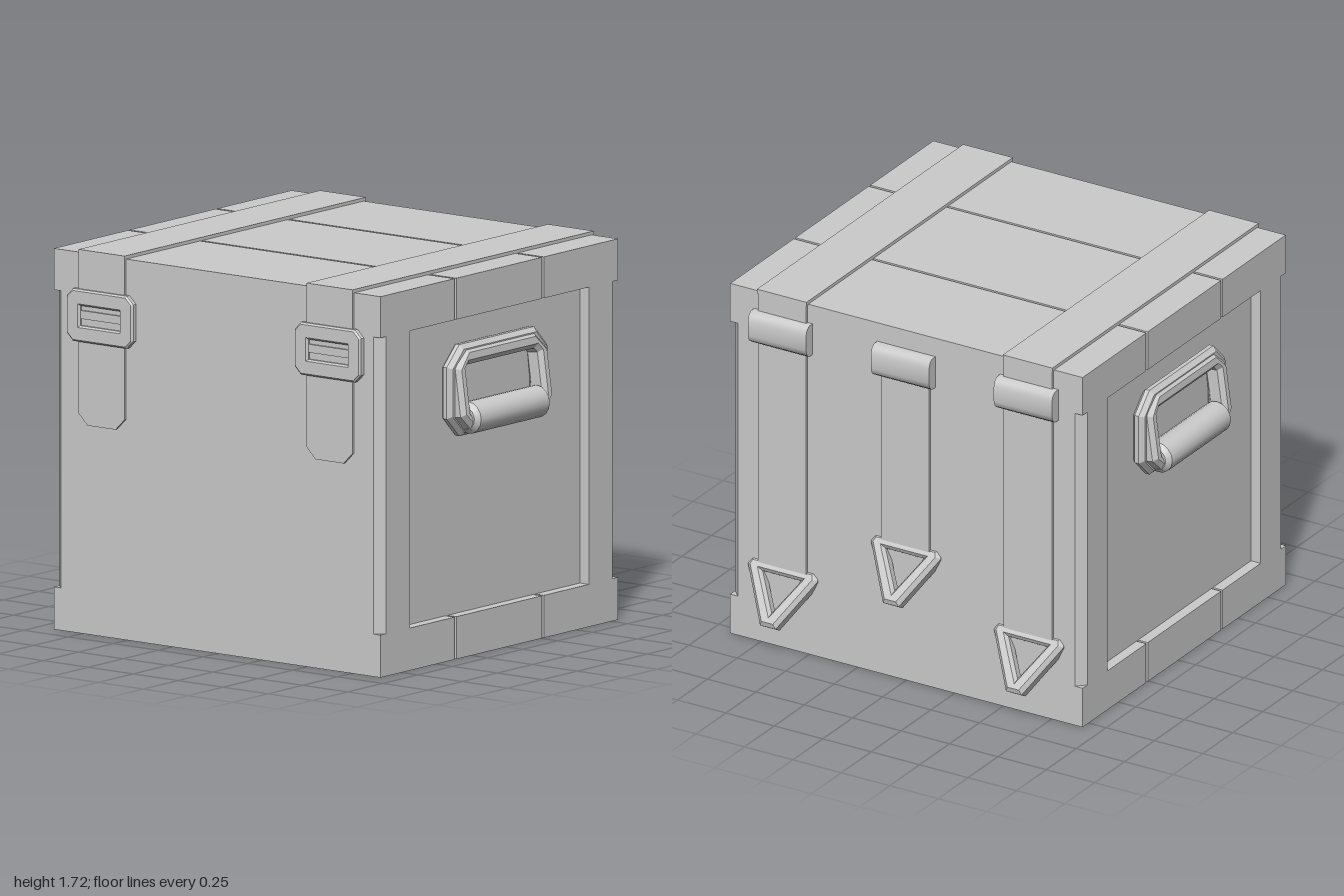
import * as THREE from 'three';
import { toCreasedNormals } from 'three/addons/utils/BufferGeometryUtils.js';

const material = new THREE.MeshStandardMaterial({ color: 0xcccccc });
const flatMaterial = new THREE.MeshStandardMaterial({ color: 0xcccccc, flatShading: true });
const MID_Z = 0.05; // middle of the crate from back to front

function add(parent, name, geometry, mat = flatMaterial) {
  const mesh = new THREE.Mesh(geometry, mat);
  mesh.name = name;
  parent.add(mesh);
  return mesh;
}

// Box given by its limits on each axis
function box(x0, x1, y0, y1, z0, z1) {
  return new THREE.BoxGeometry(x1 - x0, y1 - y0, z1 - z0)
    .translate((x0 + x1) / 2, (y0 + y1) / 2, (z0 + z1) / 2);
}

const toPoints = (list) => list.map(([x, y]) => new THREE.Vector2(x, y));

// Rectangle with cut corners; top corners may use a different cut
function cutRect(w, h, c, top = c) {
  const x = w / 2, y = h / 2;
  return toPoints([[-x + c, -y], [x - c, -y], [x, -y + c], [x, y - top],
    [x - top, y], [-x + top, y], [-x, y - top], [-x, -y + c]]);
}

// Bevelled plate, filling z = 0..depth and keeping the outline's size
function plate(outline, depth, bevel = 0, hole = null) {
  const shape = new THREE.Shape(outline);
  if (hole) shape.holes.push(new THREE.Path(hole));
  return new THREE.ExtrudeGeometry(shape, {
    depth: depth - 2 * bevel, bevelEnabled: bevel > 0, bevelThickness: bevel,
    bevelSize: bevel, bevelOffset: -bevel, bevelSegments: 1,
  }).translate(0, 0, bevel);
}

// Crate walls: chamfered upright corners and recessed side panels
function walls() {
  const quarter = [[0.86, 0.64], [0.91, 0.64], [0.91, 0.81], [0.87, 0.85]];
  const flip = (sx, sz) => quarter.map(([x, z]) => [x * sx, z * sz]);
  const outline = [...flip(1, 1), ...flip(-1, 1).reverse(), ...flip(-1, -1), ...flip(1, -1).reverse()];
  return plate(toPoints(outline), 1.34).rotateX(-Math.PI / 2).translate(0, 0.185, MID_Z);
}

// Three boards with narrow grooves between them
function boards(parent, name, y0, y1) {
  const group = new THREE.Group();
  group.name = name;
  for (const [z0, z1] of [[-0.8, -0.268], [-0.255, 0.358], [0.371, 0.9]]) {
    add(group, 'board', box(-0.91, 0.91, y0, y1, z0, z1));
  }
  add(group, 'boardCore', box(-0.9, 0.9, y0 + 0.012, y1 - 0.012, -0.79, 0.89));
  parent.add(group);
}

// Strap over the lid with a buckle and hanging end at the front
function lidStrap(x) {
  const group = new THREE.Group();
  group.name = 'lidStrap';
  add(group, 'strapTop', box(-0.128, 0.128, 1.70, 1.72, -0.815, 0.912));
  add(group, 'strapEnd', plate(cutRect(0.256, 0.78, 0.05, 0), 0.016).translate(0, 1.327, 0.896));
  const slot = cutRect(0.22, 0.09, 0);
  add(group, 'buckle', plate(cutRect(0.37, 0.235, 0.035), 0.035, 0.008, slot).translate(0, 1.427, 0.895));
  add(group, 'buckleBar', box(-0.115, 0.115, 1.413, 1.45, 0.9, 0.921));
  group.position.x = x;
  return group;
}

// Rear strap held by a rounded clamp, ending in a tilted triangular ring
function rearStrap(x, ringTop) {
  const group = new THREE.Group();
  group.name = 'rearStrap';
  add(group, 'strap', box(-0.125, 0.125, ringTop - 0.04, 1.705, -0.812, -0.79));
  if (x === 0) group.children[0].geometry = box(-0.125, 0.125, ringTop - 0.04, 1.6, -0.812, -0.79);

  const profile = toPoints([[-0.01, 1.465], [0.028, 1.465], [0.046, 1.478], [0.055, 1.505],
    [0.055, 1.575], [0.046, 1.602], [0.028, 1.615], [-0.01, 1.615]]);
  const clamp = plate(profile, 0.3).rotateY(Math.PI / 2).translate(-0.15, 0, -0.8);
  add(group, 'clamp', toCreasedNormals(clamp, 0.8), material);

  const outline = toPoints([[-0.04, -0.29], [0.04, -0.29], [0.18, -0.04], [0.165, 0],
    [-0.165, 0], [-0.18, -0.04]]);
  const hole = toPoints([[0, -0.225], [0.1, -0.055], [-0.1, -0.055]]);
  const ring = add(group, 'triangleRing', plate(outline, 0.075, 0.018, hole));
  ring.rotation.x = 0.53;
  ring.position.set(0, ringTop, -0.8);
  group.position.x = x;
  return group;
}

// Side handle facing +x: flange, tilted frame and round grip
function sideHandle() {
  const group = new THREE.Group();
  group.name = 'sideHandle';
  const flange = plate(cutRect(0.715, 0.41, 0.09), 0.06, 0.02, cutRect(0.53, 0.25, 0.02));
  add(group, 'handleFlange', flange.rotateY(Math.PI / 2).translate(0.855, 1.195, 0));

  const frame = plate(cutRect(0.65, 0.375, 0.08), 0.095, 0.02, cutRect(0.52, 0.23, 0.02));
  const tilted = add(group, 'handleFrame', frame.rotateY(Math.PI / 2));
  tilted.rotation.z = 0.14;
  tilted.position.set(0.858, 1.185, 0);

  const grip = new THREE.LatheGeometry(
    toPoints([[0, -0.265], [0.05, -0.265], [0.072, -0.245], [0.072, 0.245], [0.05, 0.265], [0, 0.265]]), 16);
  add(group, 'handleGrip', toCreasedNormals(grip.rotateX(Math.PI / 2), 0.6), material)
    .position.set(0.928, 1.073, 0);
  group.position.z = MID_Z;
  return group;
}

export function createModel() {
  const model = new THREE.Group();
  model.name = 'crate';

  add(model, 'walls', walls());
  boards(model, 'lid', 1.52, 1.705);
  boards(model, 'base', 0, 0.19);

  for (const side of [-1, 1]) {
    model.add(lidStrap(side * 0.635));
    model.add(rearStrap(side * 0.635, 0.41));
    const handle = sideHandle();
    if (side < 0) handle.rotation.y = Math.PI;
    model.add(handle);
  }
  model.add(rearStrap(0, 0.68));
  return model;
}
